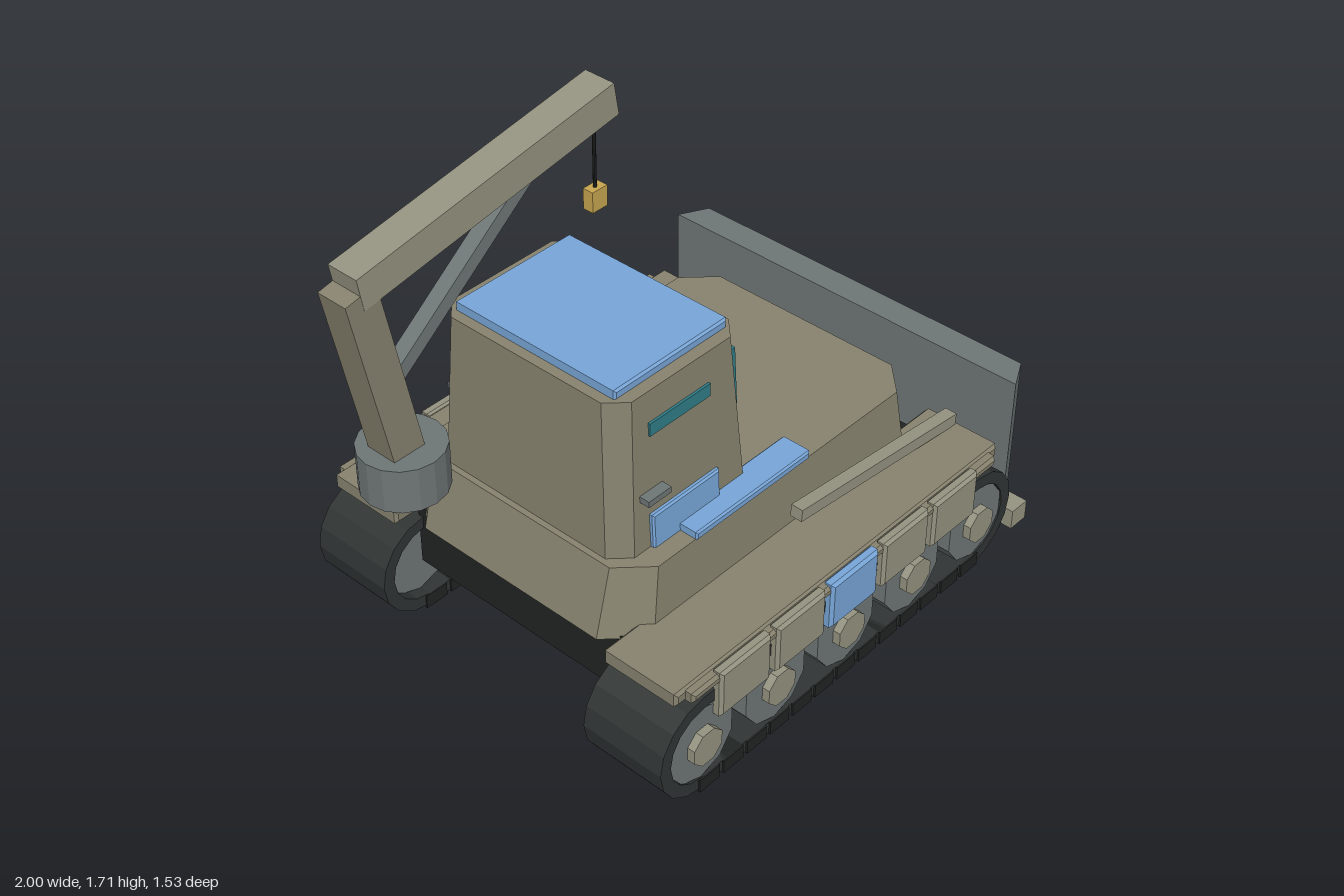
import * as THREE from 'three';

const mat = (color) => new THREE.MeshStandardMaterial({ color, flatShading: true });

export function createModel() {
  const model = new THREE.Group();
  model.name = 'armouredRecoveryVehicle';
  const olive = mat(0x87836f), pale = mat(0x959380), grey = mat(0x6f7676), dark = mat(0x303534);
  const black = mat(0x202423), blue = mat(0x78a6d8), teal = mat(0x2f7d88), yellow = mat(0xc8a650);

  const add = (name, geometry, material, x = 0, y = 0, z = 0) => {
    const mesh = new THREE.Mesh(geometry, material);
    mesh.name = name;
    mesh.position.set(x, y, z);
    model.add(mesh);
    return mesh;
  };

  // Box given by its limits on each axis
  const box = (name, material, x0, x1, y0, y1, z0, z1) =>
    add(name, new THREE.BoxGeometry(x1 - x0, y1 - y0, Math.abs(z1 - z0)), material,
      (x0 + x1) / 2, (y0 + y1) / 2, (z0 + z1) / 2);

  // Box with one chamfer along every edge
  const bevelBox = (name, material, x0, x1, y0, y1, z0, z1, b = 0.01) => {
    const w = (x1 - x0) / 2 - b, h = (y1 - y0) / 2 - b, d = Math.abs(z1 - z0) - 2 * b;
    const shape = new THREE.Shape([[-w, -h], [w, -h], [w, h], [-w, h]].map((p) => new THREE.Vector2(...p)));
    const geo = new THREE.ExtrudeGeometry(shape,
      { depth: d, bevelEnabled: true, bevelSize: b, bevelThickness: b, bevelSegments: 1 });
    geo.translate(0, 0, -d / 2);
    return add(name, geo, material, (x0 + x1) / 2, (y0 + y1) / 2, (z0 + z1) / 2);
  };

  // Square bar between two points
  const beam = (name, material, from, to, width, height) => {
    const a = new THREE.Vector3(...from), b = new THREE.Vector3(...to);
    const mesh = add(name, new THREE.BoxGeometry(width, height, a.distanceTo(b)), material);
    mesh.position.copy(a).lerp(b, 0.5);
    mesh.lookAt(b);
    return mesh;
  };

  // Tapered block with chamfered corners: each level is [y, x0, x1, half z, chamfer]
  const taperedBlock = (name, material, bottom, top) => {
    const ring = ([y, x0, x1, z, c]) => [
      [x1, y, -z + c], [x1, y, z - c], [x1 - c, y, z], [x0 + c, y, z],
      [x0, y, z - c], [x0, y, -z + c], [x0 + c, y, -z], [x1 - c, y, -z]];
    const index = [];
    for (let i = 0; i < 8; i++) {
      const j = (i + 1) % 8;
      index.push(i, i + 8, j, i + 8, j + 8, j);
      if (i > 0 && i < 7) index.push(0, i, i + 1, 8, i + 9, i + 8);
    }
    const geo = new THREE.BufferGeometry();
    geo.setAttribute('position', new THREE.Float32BufferAttribute([...ring(bottom), ...ring(top)].flat(), 3));
    geo.setIndex(index);
    const flat = geo.toNonIndexed();
    flat.computeVertexNormals();
    return add(name, flat, material);
  };

  // Hull
  box('lowerHull', black, -0.63, 0.72, 0.185, 0.41, -0.45, 0.45);
  taperedBlock('upperHull', olive, [0.4, -0.68, 0.74, 0.485, 0.12], [0.64, -0.62, 0.69, 0.465, 0.1]);

  // Cabin, roof, windscreen and vent
  taperedBlock('cabin', olive, [0.63, -0.6, 0, 0.39, 0.06], [1.18, -0.575, -0.04, 0.36, 0.06]);
  bevelBox('roofPanel', blue, -0.54, -0.07, 1.175, 1.21, -0.32, 0.32, 0.007);
  const windscreen = box('windscreen', teal, -0.035, -0.015, 0.86, 1.075, -0.312, 0.312);
  windscreen.rotation.z = 0.07;
  box('windscreenBar', grey, -0.03, 0.002, 0.85, 1.115, -0.015, 0.015);
  box('ventBack', black, -0.02, 0.006, 0.635, 0.705, -0.22, 0.22);
  for (let i = 0; i < 6; i++) {
    const z = -0.18 + i * 0.072;
    box('ventSlat', grey, 0, 0.012, 0.645, 0.693, z - 0.006, z + 0.006);
  }
  box('ventTopFrame', dark, 0, 0.016, 0.692, 0.708, -0.226, 0.226);
  box('ventSideFrame', dark, 0, 0.016, 0.635, 0.708, -0.226, -0.21);
  box('ventSideFrame', dark, 0, 0.016, 0.635, 0.708, 0.21, 0.226);

  // Stadium outline of a track
  const stadium = (Path, r) => {
    const points = [];
    for (const [cx, start] of [[0.695, -Math.PI / 2], [-0.625, Math.PI / 2]]) {
      for (let i = 0; i <= 8; i++) {
        const a = start + (i * Math.PI) / 8;
        points.push(new THREE.Vector2(cx + r * Math.cos(a), 0.19 + r * Math.sin(a)));
      }
    }
    return new Path(points);
  };
  const trackShape = stadium(THREE.Shape, 0.184);
  trackShape.holes.push(stadium(THREE.Path, 0.14));
  const trackGeo = new THREE.ExtrudeGeometry(trackShape, { depth: 0.305, bevelEnabled: false });
  trackGeo.translate(0, 0, -0.1525);
  const wheelGeo = new THREE.CylinderGeometry(0.14, 0.14, 0.26, 10).rotateX(Math.PI / 2);
  const hubGeo = new THREE.CylinderGeometry(0.065, 0.065, 0.05, 8, 1, false, Math.PI / 8).rotateX(Math.PI / 2);

  for (const s of [1, -1]) {
    // Running gear
    add('track', trackGeo, dark, 0, 0, s * 0.585);
    for (let i = 0; i < 13; i++) {
      const x = -0.6 + i * 0.106;
      box('trackPad', black, x - 0.044, x + 0.044, 0, 0.05, s * 0.428, s * 0.744);
    }
    for (let i = 0; i < 5; i++) {
      const x = -0.628 + i * 0.331;
      add('roadWheel', wheelGeo, grey, x, 0.19, s * 0.603);
      add('wheelHub', hubGeo, pale, x, 0.19, s * 0.735);
      // Side skirts, the middle one coloured
      const px = -0.468 + i * 0.25;
      bevelBox('skirtPlate', i === 2 ? blue : pale, px - 0.111, px + 0.111, 0.275, 0.447, s * 0.722, s * 0.764);
    }
    bevelBox('fender', olive, -0.73, 0.795, 0.4, 0.447, s * 0.44, s * 0.725);
    bevelBox('skirtRail', olive, -0.69, 0.75, 0.405, 0.44, s * 0.7, s * 0.755);

    // Blade arms
    beam('fenderArm', pale, [0.035, 0.523, s * 0.522], [0.79, 0.466, s * 0.54], 0.045, 0.043);
    beam('bladeArm', grey, [0.55, 0.3, s * 0.55], [0.9, 0.345, s * 0.595], 0.065, 0.045);

    // Hatches, cabin side details and lamps
    bevelBox('deckHatch', blue, -0.36, 0.155, 0.635, 0.665, s * 0.36, s * 0.47, 0.006);
    box('sideWindow', teal, -0.455, -0.2, 1.03, 1.075, s * 0.34, s * 0.374);
    const panel = bevelBox('cabinSidePanel', blue, -0.47, -0.18, 0.63, 0.758, s * 0.368, s * 0.402, 0.006);
    panel.rotation.x = -s * 0.05;
    box('doorHandle', grey, -0.505, -0.41, 0.822, 0.843, s * 0.37, s * 0.415);
    box('headlamp', yellow, 0.69, 0.73, 0.37, 0.4, s * 0.385, s * 0.42);
    bevelBox('bladeLamp', yellow, 0.965, 1, 0.5, 0.575, s * 0.385, s * 0.58, 0.005);
  }

  // Dozer blade with slanted ends, and its cutting edge
  const bladeShape = new THREE.Shape([[0.872, -0.72], [0.975, -0.667], [0.975, 0.667], [0.872, 0.72]]
    .map((p) => new THREE.Vector2(...p)));
  const bladeGeo = new THREE.ExtrudeGeometry(bladeShape, { depth: 0.6, bevelEnabled: false }).rotateX(Math.PI / 2);
  add('blade', bladeGeo, grey, 0, 0.642, 0);
  box('cuttingEdge', pale, 0.907, 0.985, 0.03, 0.103, -0.742, 0.742);

  // Crane
  const cz = -0.302;
  add('craneBase', new THREE.CylinderGeometry(0.14, 0.14, 0.155, 16), grey, -0.796, 0.768, cz);
  beam('craneMast', olive, [-0.803, 0.78, cz], [-0.942, 1.472, cz], 0.114, 0.117);
  beam('craneBoom', pale, [-0.944, 1.474, cz], [0.072, 1.65, cz], 0.116, 0.115);
  beam('craneBrace', grey, [-0.875, 1.05, cz], [-0.24, 1.545, cz], 0.055, 0.05);
  add('craneCable', new THREE.CylinderGeometry(0.006, 0.006, 0.3, 8), black, 0.033, 1.47, cz);
  box('craneHook', yellow, 0.002, 0.066, 1.265, 1.338, cz - 0.02, cz + 0.02);

  return model;
}
